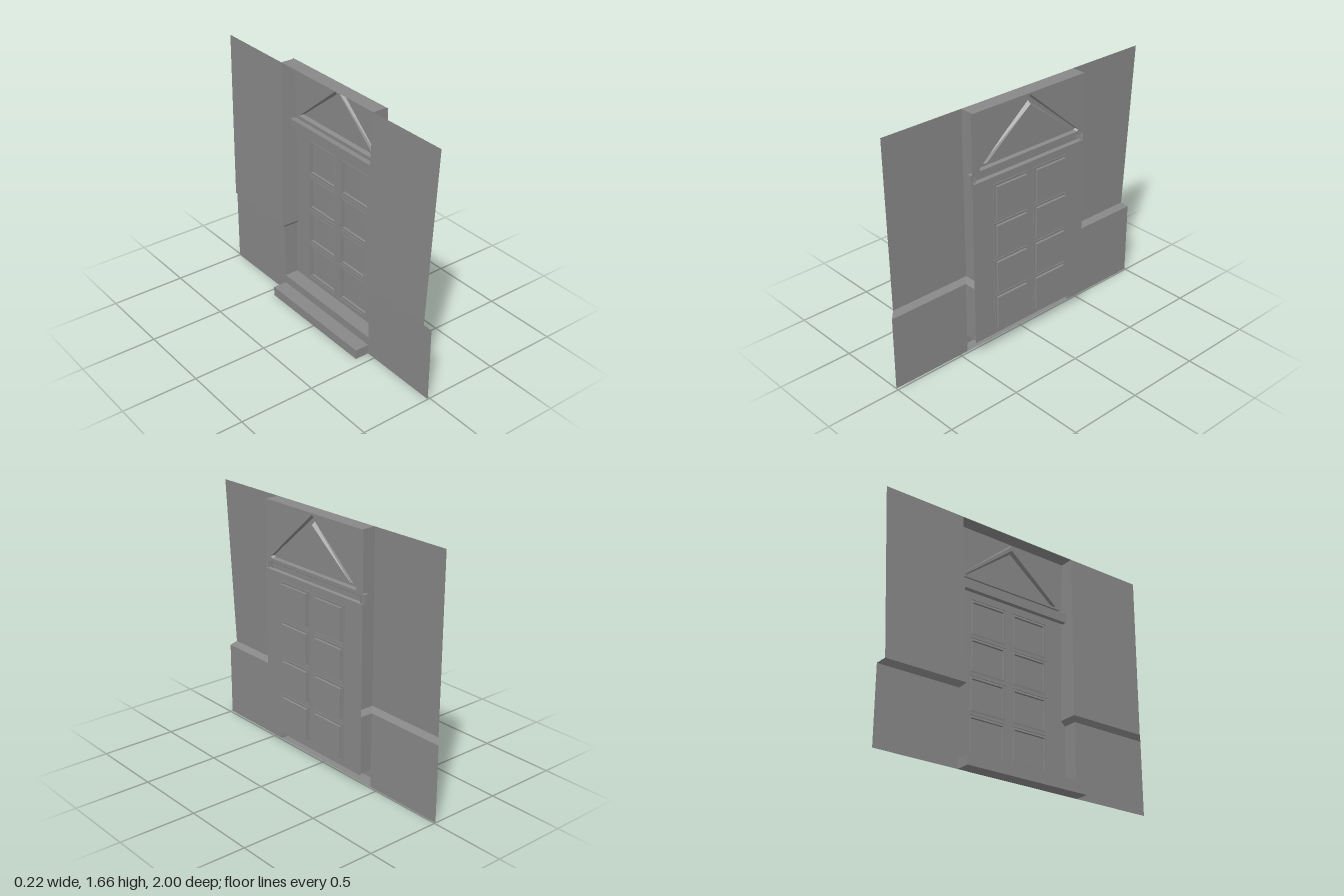
import * as THREE from 'three';

const WALL = -0.012, DOOR = 0.085, HALF = 0.44, DOOR_HALF = 0.452, SILL = 0.122, TOP = 1.66;
const material = new THREE.MeshStandardMaterial({ color: 0x888888, side: THREE.DoubleSide, flatShading: true });

// Skin a list of equal-length point rows; closed rows wrap round, cap fills the last row
function loft(name, rows, { closed = false, cap = false } = {}) {
  const pos = [];
  const tri = (a, b, c) => pos.push(...a, ...b, ...c);
  const n = rows[0].length;
  for (let r = 0; r < rows.length - 1; r++) {
    for (let i = 0; i < (closed ? n : n - 1); i++) {
      const j = (i + 1) % n;
      const [a, b, c, d] = [rows[r][i], rows[r][j], rows[r + 1][j], rows[r + 1][i]];
      tri(a, b, c);
      tri(a, c, d);
    }
  }
  const last = rows[rows.length - 1];
  if (cap) for (let i = 1; i < n - 1; i++) tri(last[0], last[i], last[i + 1]);
  const g = new THREE.BufferGeometry();
  g.setAttribute('position', new THREE.Float32BufferAttribute(pos, 3));
  g.computeVertexNormals();
  const mesh = new THREE.Mesh(g, material);
  mesh.name = name;
  return mesh;
}

// Outlines in the door plane at depth x; the gable has clipped lower corners
const rect = (x, z0, z1, y0, y1) => [[x, y0, z0], [x, y0, z1], [x, y1, z1], [x, y1, z0]];
const gable = (x, half, base, apex, clip) => [
  [x, base, clip - half], [x, base, half - clip], [x, base + clip, half], [x, apex, 0], [x, base + clip, -half],
];
const toPath = (pts, Type) => new Type(pts.map(([, y, z]) => new THREE.Vector2(z, y)));

export function createModel() {
  const model = new THREE.Group();
  model.name = 'doorway';
  const holes = [];
  const addRelief = (name, rows) => {
    holes.push(rows[0]);
    model.add(loft(name, rows, { closed: true, cap: true }));
  };

  // Wall profile: x, y, inner z, outer z; the sloping ledge also wraps into the opening
  const profile = [
    [WALL, 0, HALF, 1], [WALL, 0.5, HALF, 1], [-0.043, 0.53, HALF - 0.03, 0.967], [WALL, TOP, HALF, 1],
  ];
  for (const s of [1, -1]) {
    const side = s > 0 ? 'left' : 'right';
    model.add(loft(side + 'Wall', profile.map(([x, y, zi, zo]) => [[x, y, s * zi], [x, y, s * zo]])));
    // Reveal between the wall face and the recessed door
    model.add(loft(side + 'Jamb', profile.map(([x, y, zi]) => {
      const yy = Math.max(y, SILL);
      return [[x, yy, s * zi], [DOOR, yy, s * zi]];
    })));
  }

  // Sill, riser below it and soffit over the opening
  const span = (x, y) => [[x, y, -HALF], [x, y, HALF]];
  model.add(loft('sill', [span(WALL, 0.065), span(WALL, SILL), span(DOOR, SILL)]));
  model.add(loft('soffit', [span(WALL, TOP), span(DOOR, TOP)]));

  // Door step, open towards the wall
  const stepRows = [-HALF, HALF].map(z =>
    [[WALL, 0, z], [-0.108, 0, z], [-0.108, 0.065, z], [WALL, 0.065, z]]);
  model.add(loft('step', stepRows, { cap: true }));
  model.add(loft('stepEnd', [stepRows[0].slice(0, 2), [stepRows[0][3], stepRows[0][2]]]));

  // Eight sunk panels with a stepped border
  const panelRows = [[0.155, 0.4], [0.42, 0.652], [0.675, 0.905], [0.925, 1.167]];
  for (const [y0, y1] of panelRows) {
    for (const [z0, z1] of [[-0.295, -0.027], [0.027, 0.295]]) {
      const ring = (x, inset) => rect(x, z0 + inset, z1 - inset, y0 + inset, y1 - inset);
      addRelief('doorPanel', [ring(DOOR, 0), ring(0.09, 0), ring(0.088, 0.014), ring(0.105, 0.014)]);
    }
  }

  // Lintel bar with a narrower, tapering neck
  const bar = (x, w, y0, y1) => rect(x, -w, w, y0, y1);
  addRelief('lintel', [
    bar(DOOR, 0.442, 1.216, 1.266), bar(0.072, 0.433, 1.224, 1.258),
    bar(0.072, DOOR_HALF, 1.209, 1.273), bar(0.042, DOOR_HALF, 1.209, 1.273),
  ]);

  // Triangular pediment moulding around a flat field
  addRelief('pediment', [
    gable(DOOR, 0.4, 1.289, 1.65, 0.012), gable(0.062, 0.392, 1.296, 1.638, 0.01),
    gable(0.062, 0.362, 1.309, 1.606, 0.002), gable(DOOR, 0.342, 1.32, 1.588, 0.002),
  ]);

  // Door sheet, a little wider than the opening and cut out behind every relief
  const sheet = toPath(rect(0, -DOOR_HALF, DOOR_HALF, 0.117, TOP), THREE.Shape);
  sheet.holes = holes.map(h => toPath(h, THREE.Path));
  const door = new THREE.Mesh(new THREE.ShapeGeometry(sheet).rotateY(-Math.PI / 2), material);
  door.position.x = DOOR;
  door.name = 'door';
  model.add(door);

  // The whole front stands very slightly askew
  model.rotation.y = -0.004;
  return model;
}
